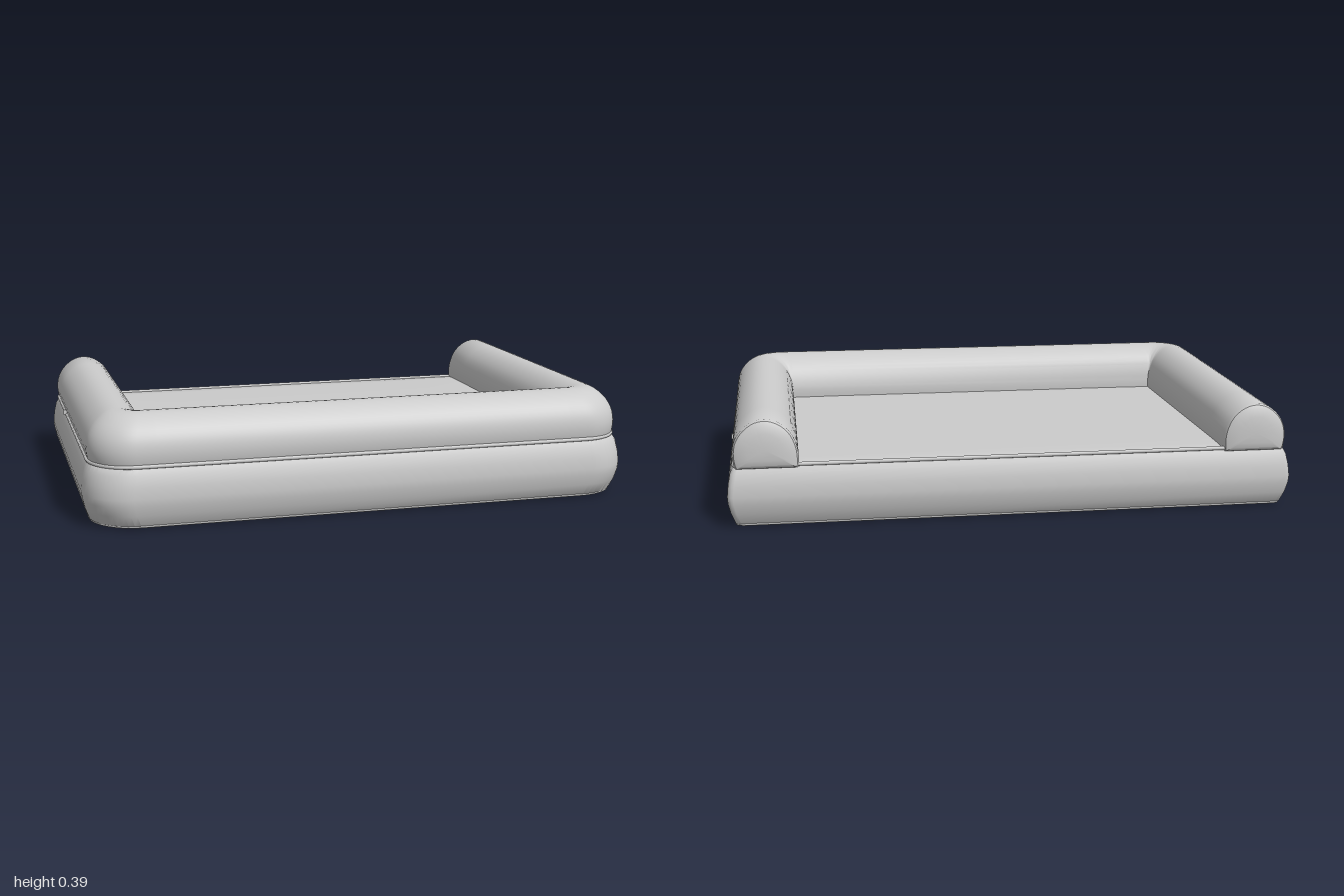
import * as THREE from 'three';
import { toCreasedNormals } from 'three/addons/utils/BufferGeometryUtils.js';

const V = (x, y, z) => new THREE.Vector3(x, y, z);
const material = new THREE.MeshStandardMaterial({ color: 0xcccccc, roughness: 0.9 });

function addMesh(group, name, geometry) {
  const mesh = new THREE.Mesh(geometry, material);
  mesh.name = name;
  group.add(mesh);
  return mesh;
}

// Skin a list of closed rings that all have the same number of points
function loft(rings, crease = 0.6) {
  const n = rings[0].length;
  const index = [];
  for (let j = 0; j < rings.length - 1; j++) {
    for (let i = 0; i < n; i++) {
      const a = j * n + i, b = j * n + (i + 1) % n;
      index.push(a, a + n, b, b, a + n, b + n);
    }
  }
  const geometry = new THREE.BufferGeometry().setFromPoints(rings.flat());
  geometry.setIndex(index);
  return toCreasedNormals(geometry, crease);
}

// Quarter arc in the xz plane, from angle a0 to a0 + 90 degrees
function arc(cx, cz, r, a0, steps) {
  const points = [];
  for (let i = 0; i <= steps; i++) {
    const a = a0 + (i / steps) * Math.PI / 2;
    points.push([cx + r * Math.cos(a), cz + r * Math.sin(a)]);
  }
  return points;
}

// Footprint: wide round front corners, nearly square back corners
function footprint(inset, y) {
  const x = 0.995 - inset, z = 0.675 - inset, r = 0.16, rb = 0.02;
  const q = Math.PI / 2;
  return [
    ...arc(x - rb, rb - z, rb, -q, 4),
    ...arc(x - r, z - r, r, 0, 12),
    ...arc(r - x, z - r, r, q, 12),
    ...arc(rb - x, rb - z, rb, 2 * q, 4),
  ].map(([px, pz]) => V(px, y, pz));
}

// Cushion base with bulging walls and a softly crowned sleeping surface
function baseGeometry() {
  const layers = [[0.04, 0], [0.024, 0.012], [0.01, 0.05], [0.002, 0.085], [0, 0.11],
    [0.004, 0.15], [0.012, 0.19], [0.022, 0.21], [0.035, 0.217]];
  const rings = layers.map(([inset, y]) => footprint(inset, y));
  const shrink = (ring, s, y) => ring.map((p) => V(p.x * s, y, p.z * s));
  const top = rings[rings.length - 1];
  rings.push(shrink(top, 0.9, 0.219), shrink(top, 0.5, 0.222), shrink(top, 0, 0.222));
  rings.unshift(shrink(rings[0], 0, 0));
  return loft(rings);
}

// U-shaped bolster: each section runs from an inner to an outer point
function bolsterGeometry() {
  const ix = 0.75, iz = 0.42, ox = 0.982, oz = 0.663, r = 0.16, back = -0.65;
  const profile = new THREE.SplineCurve([
    [0, 0.205], [-0.005, 0.25], [0.03, 0.295], [0.12, 0.34], [0.28, 0.374], [0.47, 0.388],
    [0.66, 0.379], [0.83, 0.347], [0.93, 0.308], [0.965, 0.265], [0.95, 0.225], [0.92, 0.205],
  ].map(([u, y]) => new THREE.Vector2(u, y))).getPoints(32);

  const half = [];
  for (let i = 0; i <= 6; i++) {
    const z = THREE.MathUtils.lerp(back, iz, i / 6);
    half.push([ix, z, ox, z]);
  }
  // the inner corner stays put while the outer edge sweeps round
  for (const [x, z] of arc(ox - r, oz - r, r, 0, 16)) half.push([ix, iz, x, z]);
  half.push([ix, iz, ix, oz]);
  const mirrored = half.map(([a, b, c, d]) => [-a, b, -c, d]).reverse();

  const rings = [...half, ...mirrored].map(([ax, az, bx, bz]) => {
    const drop = 1 - 0.06 * THREE.MathUtils.clamp((0.4 - az) / 1.05, 0, 1);
    return profile.map(({ x: u, y }) =>
      V(ax + (bx - ax) * u, 0.205 + (y - 0.205) * drop, az + (bz - az) * u));
  });

  // Puffed round caps on the two open ends
  const cap = (ring) => {
    const cx = Math.sign(ring[0].x) * 0.862, cy = 0.275;
    return [[0.95, 0.011], [0.82, 0.018], [0.55, 0.024], [0.25, 0.027], [0, 0.027]].map(
      ([s, d]) => ring.map((p) => V(cx + (p.x - cx) * s, cy + (p.y - cy) * s, p.z - d)));
  };
  const first = cap(rings[0]).reverse(), last = cap(rings[rings.length - 1]);
  return loft([...first, ...rings, ...last], 0.5);
}

// Piping sewn round the footprint
function pipingGeometry(inset, y, radius) {
  const path = new THREE.CatmullRomCurve3(footprint(inset, y), true, 'catmullrom', 0);
  return new THREE.TubeGeometry(path, 320, radius, 8, true);
}

export function createModel() {
  const bed = new THREE.Group();
  bed.name = 'bolsterBed';

  addMesh(bed, 'baseCushion', baseGeometry());
  addMesh(bed, 'bolster', bolsterGeometry());
  addMesh(bed, 'upperPiping', pipingGeometry(0.024, 0.217, 0.007));
  addMesh(bed, 'lowerPiping', pipingGeometry(0.03, 0.01, 0.007));

  // Small zip pulls on both sides
  for (const side of [1, -1]) {
    const pull = addMesh(bed, side > 0 ? 'leftZipPull' : 'rightZipPull',
      new THREE.BoxGeometry(0.012, 0.018, 0.012));
    pull.position.set(side * 0.978, 0.228, -0.26);
  }
  return bed;
}
